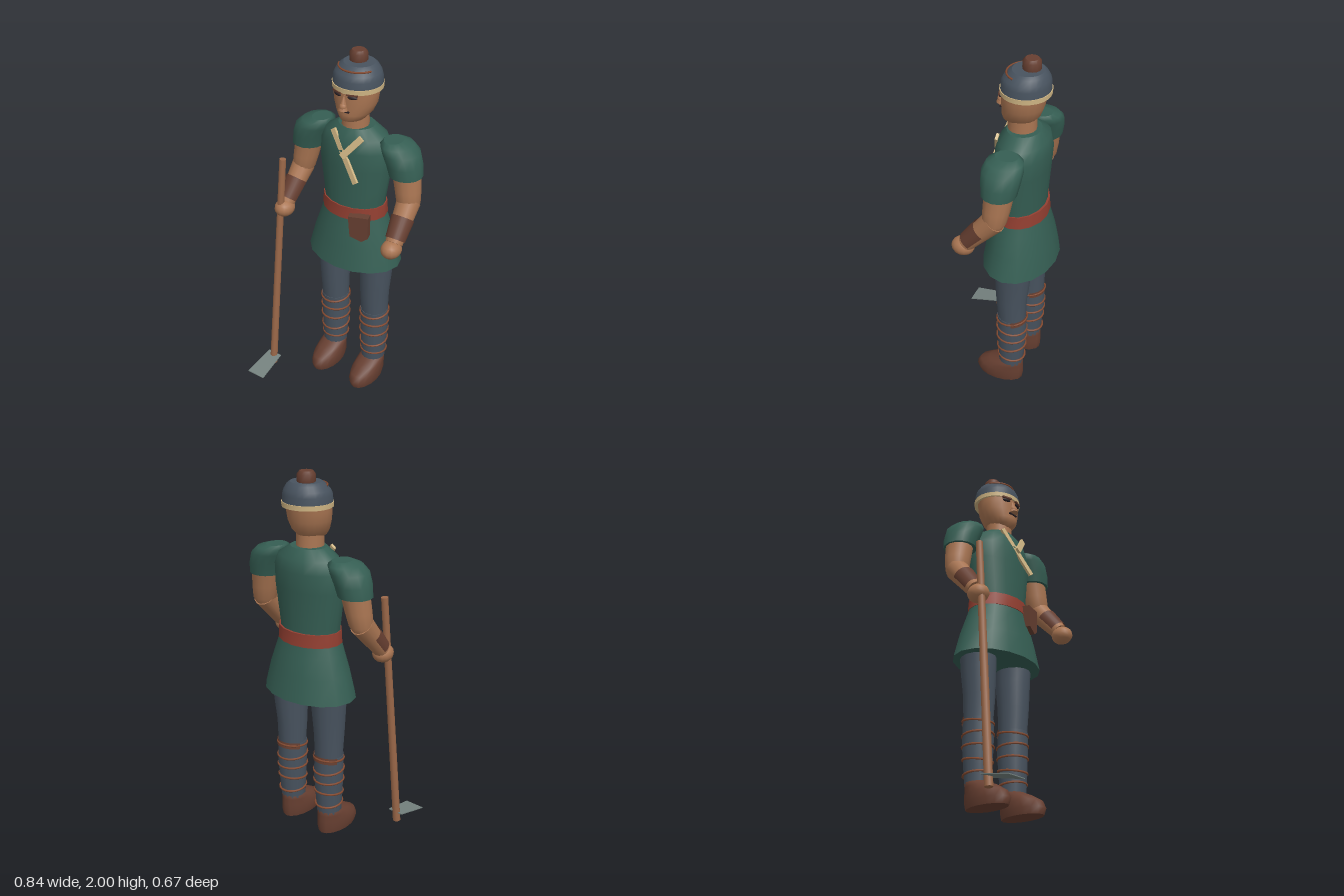
import * as THREE from 'three';

const mat = (name, color) => Object.assign(new THREE.MeshStandardMaterial({ color }), { name });

export function createModel() {
  const skin = mat('skin', 0xa97552), green = mat('tunic green', 0x355e53), slate = mat('slate cloth', 0x48535f);
  const brown = mat('dark leather', 0x673f31), red = mat('belt red', 0x933f31), cream = mat('cream trim', 0xd0b684);
  const wood = mat('wood', 0x9b6849), metal = mat('metal', 0x75827f), dark = mat('eye dark', 0x2b2226);
  const copper = mat('strap leather', 0x844a30);
  const model = new THREE.Group();
  const body = new THREE.Group();
  body.name = 'figure';
  body.position.x = 0.013;
  model.add(body);

  const add = (parent, name, geo, material, x = 0, y = 0, z = 0) => {
    const m = new THREE.Mesh(geo, material);
    m.name = name;
    m.position.set(x, y, z);
    parent.add(m);
    return m;
  };

  // Skin over horizontal elliptical rings [y, centreX, centreZ, radiusX, radiusZ], listed upwards
  function loft(rings, n = 16) {
    const pos = [], idx = [];
    const ring = ([y, cx, cz, rx, rz]) => {
      for (let j = 0; j < n; j++) {
        const a = (j / n) * Math.PI * 2;
        pos.push(cx + rx * Math.cos(a), y, cz + rz * Math.sin(a));
      }
    };
    rings.forEach(ring);
    for (let i = 0; i < rings.length - 1; i++) for (let j = 0; j < n; j++) {
      const a = i * n + j, b = i * n + (j + 1) % n;
      idx.push(a, a + n, b, b, a + n, b + n);
    }
    // Flat end caps with their own vertices
    [rings[0], rings[rings.length - 1]].forEach((r, top) => {
      const s = pos.length / 3;
      ring(r);
      pos.push(r[1], r[0], r[2]);
      for (let j = 0; j < n; j++) {
        const a = s + j, b = s + (j + 1) % n;
        top ? idx.push(s + n, b, a) : idx.push(s + n, a, b);
      }
    });
    const g = new THREE.BufferGeometry();
    g.setAttribute('position', new THREE.Float32BufferAttribute(pos, 3));
    g.setIndex(idx);
    g.computeVertexNormals();
    return g;
  }

  // Tapered rod between two points
  function rod(parent, name, a, b, ra, rb, material, n = 12) {
    const A = new THREE.Vector3(...a), B = new THREE.Vector3(...b), d = B.clone().sub(A);
    const m = add(parent, name, new THREE.CylinderGeometry(rb, ra, d.length(), n), material);
    m.position.copy(A).addScaledVector(d, 0.5);
    m.quaternion.setFromUnitVectors(new THREE.Vector3(0, 1, 0), d.normalize());
    return m;
  }

  // Flat strip between two points, broad side to the front
  function strip(parent, name, a, b, width, thick, material) {
    const A = new THREE.Vector3(...a), B = new THREE.Vector3(...b), d = B.clone().sub(A);
    const m = add(parent, name, new THREE.BoxGeometry(width, d.length(), thick), material);
    m.position.copy(A).addScaledVector(d, 0.5);
    const y = d.normalize(), x = y.clone().cross(new THREE.Vector3(0, 0, 1)).normalize();
    m.quaternion.setFromRotationMatrix(new THREE.Matrix4().makeBasis(x, y, x.clone().cross(y)));
  }

  // Tunic and belt
  add(body, 'tunicSkirt', loft([
    [0.815, 0, -0.137, 0.277, 0.196], [0.95, 0, -0.137, 0.24, 0.174], [1.05, 0, -0.135, 0.205, 0.152],
    [1.13, 0, -0.133, 0.178, 0.136]]), green);
  add(body, 'tunicTorso', loft([
    [1.13, 0, -0.131, 0.178, 0.132], [1.2, 0, -0.131, 0.178, 0.13], [1.4, 0, -0.136, 0.208, 0.137],
    [1.5, 0, -0.142, 0.205, 0.138], [1.565, 0, -0.142, 0.178, 0.125], [1.615, 0, -0.14, 0.1, 0.088]]), green);
  add(body, 'belt', loft([[1.11, 0, -0.133, 0.188, 0.144], [1.18, 0, -0.133, 0.184, 0.14]]), red);

  // Crossed collar trim
  strip(body, 'collarLong', [-0.075, 1.598, -0.035], [0.105, 1.358, 0.022], 0.03, 0.014, cream);
  strip(body, 'collarShort', [0.1, 1.592, -0.035], [0.008, 1.478, 0.008], 0.034, 0.014, cream);

  // Belt pouch with a pointed lower edge
  const flap = new THREE.Shape([[-0.055, 0.07], [0.055, 0.075], [0.055, -0.05], [0.02, -0.075], [-0.045, -0.052]]
    .map(p => new THREE.Vector2(...p)));
  const pouch = add(body, 'pouch', new THREE.ExtrudeGeometry(flap, { depth: 0.045, bevelEnabled: false }), brown, 0.108, 1.083, -0.022);
  pouch.rotation.y = 0.3;

  // Head and neck
  add(body, 'neck', loft([[1.58, 0, -0.128, 0.073, 0.075], [1.7, 0, -0.128, 0.07, 0.072]]), skin);
  add(body, 'head', loft([
    [1.652, 0, -0.1, 0.035, 0.045], [1.665, 0, -0.108, 0.064, 0.082], [1.7, 0, -0.122, 0.094, 0.1],
    [1.75, 0, -0.132, 0.115, 0.108], [1.8, 0, -0.135, 0.122, 0.112], [1.85, 0, -0.14, 0.124, 0.113]], 20), skin);
  const nose = add(body, 'nose', new THREE.ConeGeometry(0.026, 0.085, 8), skin, 0, 1.772, -0.02);
  nose.rotation.x = -0.12;
  add(body, 'noseTip', new THREE.SphereGeometry(0.02, 10, 8), skin, 0, 1.75, -0.014);
  add(body, 'mouth', new THREE.BoxGeometry(0.06, 0.007, 0.009), dark, 0, 1.722, -0.022);
  for (const s of [-1, 1]) {
    const brow = add(body, 'brow', new THREE.BoxGeometry(0.058, 0.009, 0.012), brown, s * 0.045, 1.818, -0.028);
    const eye = add(body, 'eye', new THREE.SphereGeometry(0.026, 12, 8), dark, s * 0.045, 1.803, -0.031);
    eye.scale.set(1, 0.38, 0.35);
    brow.rotation.y = eye.rotation.y = s * 0.3;
  }

  // Cap, trim, cord and topknot
  add(body, 'cap', loft([
    [1.83, 0, -0.145, 0.131, 0.126], [1.88, 0, -0.146, 0.129, 0.124], [1.905, 0, -0.149, 0.12, 0.115],
    [1.932, 0, -0.154, 0.1, 0.096], [1.945, 0, -0.156, 0.082, 0.08]], 24), slate);
  add(body, 'capTrim', loft([[1.82, 0, -0.145, 0.133, 0.129], [1.845, 0, -0.145, 0.134, 0.13]], 24), cream);
  const cord = add(body, 'capCord', new THREE.TorusGeometry(0.104, 0.005, 6, 20, 2.4), copper, 0, 1.927, -0.153);
  cord.geometry.rotateZ(Math.PI / 2 - 1.2);
  cord.rotation.x = Math.PI / 2;
  add(body, 'topknot', loft([
    [1.93, -0.013, -0.168, 0.042, 0.042], [1.95, -0.013, -0.168, 0.048, 0.048],
    [1.985, -0.013, -0.168, 0.047, 0.047], [2, -0.013, -0.168, 0.034, 0.034]], 14), brown);

  for (const s of [-1, 1]) {
    const side = s > 0 ? 'left' : 'right';

    // Sleeve, arm and hand
    add(body, side + 'Sleeve', loft([
      [1.41, s * 0.307, -0.136, 0.09, 0.09], [1.47, s * 0.295, -0.138, 0.095, 0.1],
      [1.53, s * 0.272, -0.14, 0.098, 0.105], [1.565, s * 0.245, -0.142, 0.085, 0.094],
      [1.582, s * 0.225, -0.142, 0.05, 0.06]], 14), green);
    add(body, side + 'UpperArm', loft([
      [1.225, s * 0.34, -0.122, 0.045, 0.045], [1.26, s * 0.336, -0.124, 0.063, 0.064],
      [1.33, s * 0.325, -0.132, 0.07, 0.07], [1.43, s * 0.307, -0.14, 0.076, 0.077]], 14), skin);
    const elbow = [s * 0.338, 1.265, -0.125], wrist = [s * 0.35, 1.09, 0.025];
    rod(body, side + 'Forearm', elbow, wrist, 0.063, 0.046, skin, 14);

    // Bracer wraps the back and underside of the forearm
    const at = t => elbow.map((v, i) => v + (wrist[i] - v) * t);
    const bracer = rod(body, side + 'Bracer', at(0.4), at(0.92), 0.062, 0.053, brown);
    bracer.geometry = new THREE.CylinderGeometry(0.053, 0.062, 0.12, 14, 1, true, Math.PI * 0.42, Math.PI * 1.16);
    bracer.material = brown;
    brown.side = THREE.DoubleSide;
    const hand = add(body, side + 'Hand', new THREE.SphereGeometry(1, 14, 10), skin, s * 0.347, 1.062, 0.044);
    hand.scale.set(0.054, 0.05, 0.062);

    // Leg, shin wrapping and boot
    const x = s * 0.135;
    add(body, side + 'Leg', loft([
      [0.1, x, -0.137, 0.064, 0.064], [0.46, x, -0.14, 0.076, 0.078], [0.6, x, -0.136, 0.081, 0.087],
      [0.74, x * 1.02, -0.142, 0.088, 0.098], [0.84, x * 1.03, -0.144, 0.092, 0.104]], 14), slate);
    add(body, side + 'ShinWrap', loft([
      [0.12, x, -0.136, 0.067, 0.069], [0.22, x, -0.138, 0.073, 0.076], [0.35, x, -0.141, 0.08, 0.083],
      [0.47, x, -0.139, 0.079, 0.081]], 14), slate);
    [[0.455, 0.081, 0.12], [0.385, 0.081, -0.08], [0.322, 0.08, 0], [0.25, 0.077, 0.12], [0.178, 0.073, -0.1]].forEach(([y, r, tilt], i) => {
      const strap = add(body, side + 'ShinStrap' + (i + 1), new THREE.TorusGeometry(r, 0.006, 6, 18), copper, x, y, -0.14);
      strap.scale.y = 1.04;
      strap.rotation.x = Math.PI / 2 + tilt;
    });
    // Broad tie at the back of the knee
    const tie = add(body, side + 'KneeTie', new THREE.CylinderGeometry(0.085, 0.085, 0.035, 14, 1, true, Math.PI * 0.6, Math.PI * 0.8), brown, x, 0.455, -0.139);
    tie.rotation.x = 0.1;
    add(body, side + 'Boot', loft([
      [0, x, -0.072, 0.07, 0.132], [0.035, x, -0.07, 0.078, 0.141], [0.075, x, -0.08, 0.078, 0.13],
      [0.108, x, -0.108, 0.073, 0.1], [0.132, x, -0.134, 0.068, 0.072], [0.142, x, -0.136, 0.055, 0.06]], 16), brown);
  }

  // Hoe: long shaft and thin tapered blade
  const hoe = new THREE.Group();
  hoe.name = 'hoe';
  model.add(hoe);
  rod(hoe, 'shaft', [-0.367, 0.012, 0.162], [-0.335, 1.365, 0.046], 0.022, 0.019, wood, 10);
  const blade = new THREE.BoxGeometry(1, 0.005, 0.186);
  const p = blade.attributes.position;
  for (let i = 0; i < p.count; i++) {
    const front = p.getZ(i) > 0;
    p.setX(i, p.getX(i) * (front ? 0.112 : 0.088));
    p.setY(i, p.getY(i) + (front ? -0.019 : 0.019));
  }
  blade.computeVertexNormals();
  add(hoe, 'blade', blade, metal, -0.366, 0.05, 0.24);

  return model;
}
